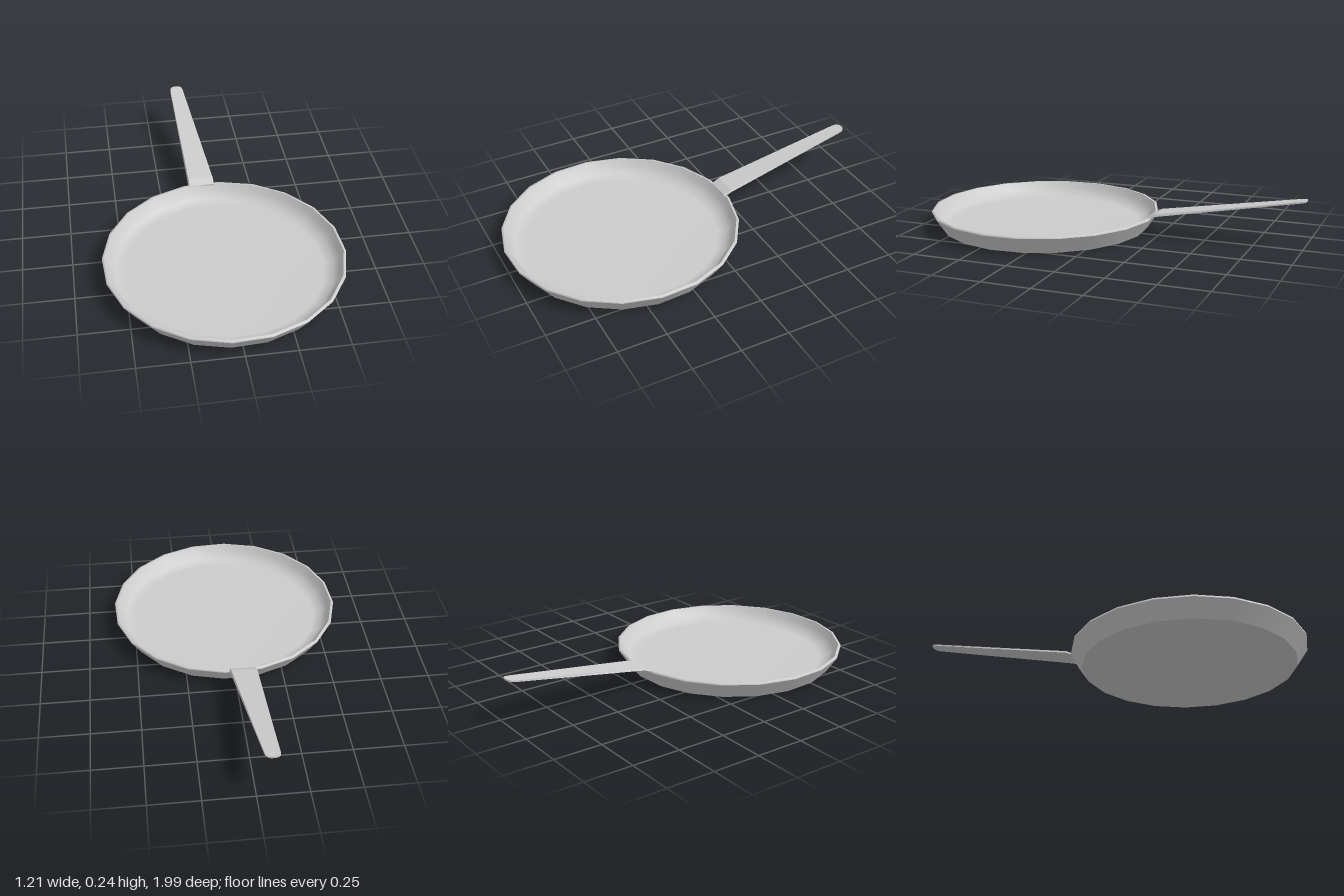
import * as THREE from 'three';

const SIDES = 20;
const material = new THREE.MeshStandardMaterial({ color: 0xcccccc });
const flatMaterial = new THREE.MeshStandardMaterial({ color: 0xcccccc, flatShading: true });

// One smooth band of the pan; separate bands keep the edges between them sharp
function band(name, profile) {
  const points = profile.map(([r, y]) => new THREE.Vector2(r, y));
  const mesh = new THREE.Mesh(new THREE.LatheGeometry(points, SIDES, -0.1), material);
  mesh.name = name;
  return mesh;
}

// Loft of four-cornered sections: [z, top y, left x, right x, thickness, flare of the underside]
function loft(sections) {
  const positions = [], index = [];
  for (const [z, y, x0, x1, t, flare] of sections) {
    positions.push(x0, y, z, x1, y, z, x1 + flare, y - t, z, x0 - flare, y - t, z);
  }
  for (let s = 0; s < sections.length - 1; s++) {
    for (let k = 0; k < 4; k++) {
      const a = s * 4 + k, b = s * 4 + (k + 1) % 4;
      index.push(a, b, a + 4, b, b + 4, a + 4);
    }
  }
  const e = (sections.length - 1) * 4;
  index.push(0, 2, 1, 0, 3, 2, e, e + 1, e + 2, e, e + 2, e + 3);
  const geometry = new THREE.BufferGeometry();
  geometry.setAttribute('position', new THREE.Float32BufferAttribute(positions, 3));
  geometry.setIndex(index);
  const flat = geometry.toNonIndexed();
  flat.computeVertexNormals();
  return flat;
}

export function createModel() {
  const model = new THREE.Group();
  model.name = 'fryingPan';

  // Shallow round pan
  const pan = new THREE.Group();
  pan.name = 'pan';
  pan.position.z = 0.39;
  pan.add(
    band('base', [[0, 0], [0.55, 0]]),
    band('outerWall', [[0.55, 0], [0.607, 0.086]]),
    band('rim', [[0.607, 0.086], [0.605, 0.095], [0.594, 0.095]]),
    band('interior', [[0.594, 0.095], [0.575, 0.064], [0.548, 0.032], [0.5, 0.018], [0, 0.016]])
  );
  model.add(pan);

  // Flat tapering handle, bent at the rim and rounded at the tip
  const handle = new THREE.Mesh(loft([
    [-0.195, 0.096, -0.098, 0.03, 0.008, 0.006],
    [-0.238, 0.117, -0.099, 0.029, 0.012, 0.006],
    [-0.965, 0.234, -0.11, -0.037, 0.008, 0.001],
    [-0.985, 0.237, -0.106, -0.041, 0.008, 0.001],
    [-0.996, 0.239, -0.095, -0.052, 0.008, 0],
    [-1, 0.24, -0.082, -0.064, 0.008, 0],
  ]), flatMaterial);
  handle.name = 'handle';
  model.add(handle);

  return model;
}
